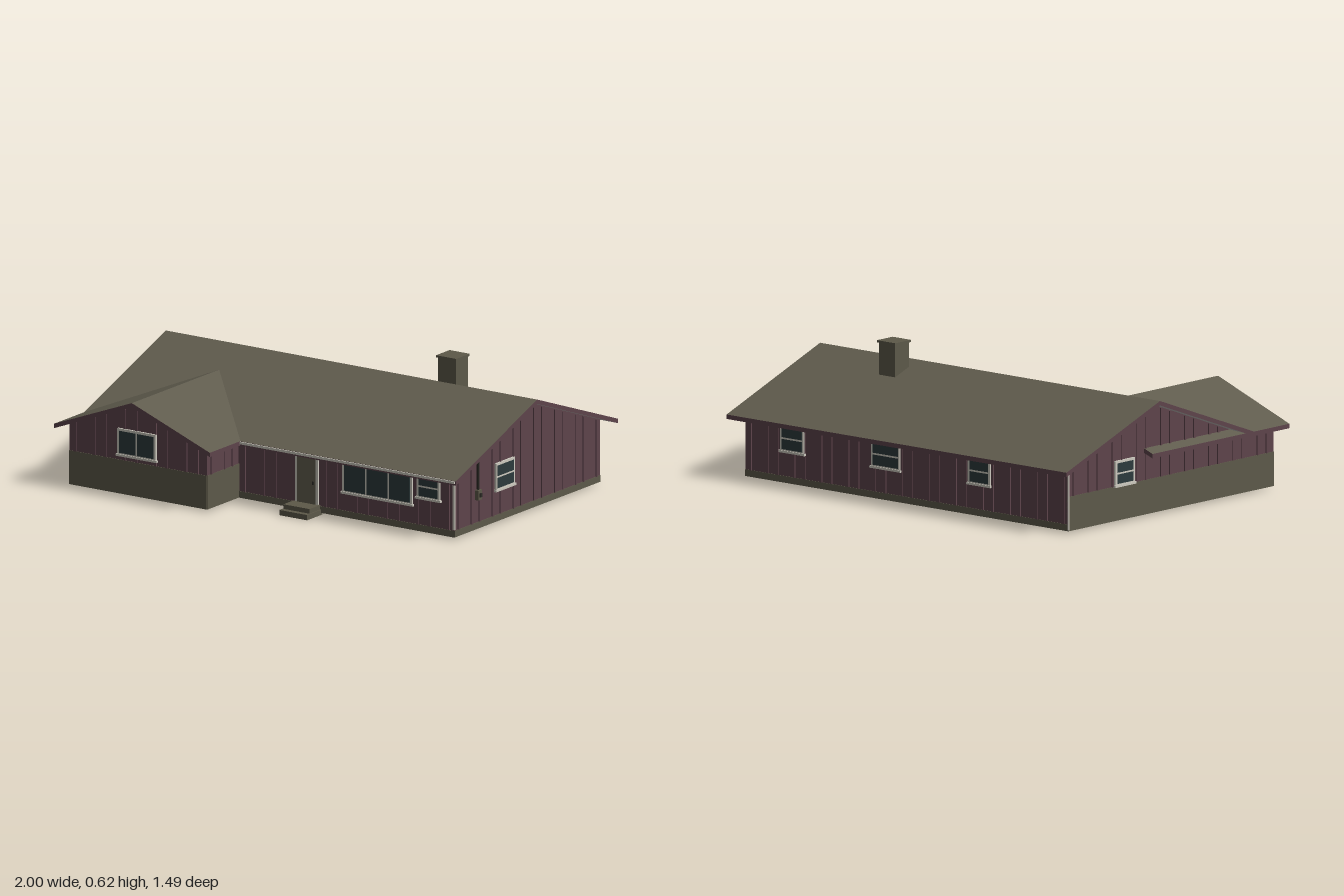
import * as THREE from 'three';

const paint = (name, color) => Object.assign(new THREE.MeshStandardMaterial({ color }), { name });

export function createModel() {
  const house = new THREE.Group();
  house.name = 'house';
  const M = {
    roof: paint('roofShingle', 0x605c4e),
    wall: paint('plumSiding', 0x5e434b),
    brick: paint('oliveMasonry', 0x5d5949),
    ceiling: paint('greyUnderside', 0xc4c1bd),
    trim: paint('paleTrim', 0xcdcabf),
    glass: paint('darkGlass', 0x2c3a3c),
    door: paint('doorOlive', 0x636050),
    dark: paint('darkMetal', 0x2c2b26),
  };
  M.wall.side = THREE.DoubleSide;

  function box(parent, name, mat, x0, x1, y0, y1, z0, z1) {
    const m = new THREE.Mesh(new THREE.BoxGeometry(x1 - x0, y1 - y0, z1 - z0), mat);
    m.position.set((x0 + x1) / 2, (y0 + y1) / 2, (z0 + z1) / 2);
    m.name = name;
    parent.add(m);
    return m;
  }

  // Roof planes: height rules for the main roof and the front wing
  const mainY = (x, z) => 0.52 - 0.368 * Math.abs(z + 0.12);
  const wingY = (x) => 0.45 - 0.384 * Math.abs(x + 0.58);
  const THICK = 0.02;

  // Sloped slab from a plan outline: shingle top, grey underside, plum fascia
  function slab(name, outline, height) {
    const plan = outline.map(([x, z]) => new THREE.Vector2(x, -z));
    if (THREE.ShapeUtils.isClockWise(plan)) plan.reverse();
    const top = plan.map((p) => [p.x, height(p.x, -p.y), -p.y]);
    const low = top.map(([x, y, z]) => [x, y - THICK, z]);
    const tris = THREE.ShapeUtils.triangulateShape(plan, []);
    const pos = [];
    const geo = new THREE.BufferGeometry();
    tris.forEach(([a, b, c]) => pos.push(...top[a], ...top[b], ...top[c]));
    tris.forEach(([a, b, c]) => pos.push(...low[a], ...low[c], ...low[b]));
    top.forEach((p, i) => {
      const j = (i + 1) % top.length;
      pos.push(...low[i], ...low[j], ...top[j], ...low[i], ...top[j], ...p);
    });
    const n = tris.length * 3;
    geo.setAttribute('position', new THREE.Float32BufferAttribute(pos, 3));
    geo.addGroup(0, n, 0);
    geo.addGroup(n, n, 1);
    geo.addGroup(2 * n, top.length * 6, 2);
    geo.computeVertexNormals();
    const m = new THREE.Mesh(geo, [M.roof, M.ceiling, M.wall]);
    m.name = name;
    house.add(m);
  }
  slab('mainRoofBack', [[-1, -0.745], [1, -0.745], [1, -0.12], [-1, -0.12]], mainY);
  slab('mainRoofFront', [[-1, -0.12], [1, -0.12], [1, 0.51], [-0.16, 0.51], [-0.58, 0.07], [-1, 0.51]], mainY);
  // The wing roof runs on beneath the main roof
  slab('wingRoofOuter', [[-0.58, -0.17], [-0.58, 0.745], [-1, 0.745], [-1, -0.17]], wingY);
  slab('wingRoofInner', [[-0.58, -0.17], [-0.16, -0.17], [-0.16, 0.745], [-0.58, 0.745]], wingY);

  // Wall in its own frame: u along the wall, y up, z outward.
  // The top is a polyline; masonry covers the foot and battens rise above it.
  function wall(name, x, z, turn, top, masonryTop) {
    const g = new THREE.Group();
    g.name = name;
    g.position.set(x, 0, z);
    g.rotation.y = turn;
    house.add(g);
    const u0 = top[0][0], u1 = top[top.length - 1][0];
    const shape = new THREE.Shape([[u0, 0.012], ...top, [u1, 0.012]].map(([u, y]) => new THREE.Vector2(u, y)));
    const m = new THREE.Mesh(new THREE.ExtrudeGeometry(shape, { depth: 0.008, bevelEnabled: false }), M.wall);
    m.position.z = -0.008;
    m.name = 'siding';
    g.add(m);
    box(g, 'masonryBase', M.brick, u0, u1, 0.01, masonryTop, -0.012, 0.003);
    const topAt = (u) => {
      const i = Math.max(1, top.findIndex((p) => p[0] >= u));
      const [a, b] = [top[i - 1], top[i]];
      return a[1] + ((b[1] - a[1]) * (u - a[0])) / (b[0] - a[0]);
    };
    // Uneven batten spacing
    const count = Math.max(2, Math.round((u1 - u0) / 0.08));
    for (let i = 0; i < count; i++) {
      const u = u0 + ((i + 0.5 + (i % 2 ? 0.15 : -0.1)) * (u1 - u0)) / count;
      box(g, 'batten', M.wall, u - 0.005, u + 0.005, masonryTop, topAt(u) - 0.003, 0, 0.005);
    }
    return g;
  }

  const E = 0.29;
  const main = (z) => mainY(0, z) - THICK;
  const front = wall('frontWall', 0, 0.45, 0, [[-0.21, E], [0.95, E]], 0.04);
  const wing = wall('wingFrontWall', 0, 0.695, 0, [[-0.95, E], [-0.58, 0.43], [-0.21, E]], 0.165);
  wall('wingInnerWall', -0.21, 0, Math.PI / 2, [[-0.695, E], [-0.45, E]], 0.165);
  const right = wall('gableWallLeft', 0.95, 0, Math.PI / 2,
    [[-0.45, main(0.45)], [0.12, 0.5], [0.675, main(-0.675)]], 0.04);
  const left = wall('gableWallRight', -0.95, 0, -Math.PI / 2,
    [[-0.675, main(-0.675)], [-0.12, 0.5], [0.45, main(0.45)], [0.695, E]], 0.165);
  const back = wall('backWall', 0, -0.675, Math.PI, [[-0.95, 0.295], [0.95, 0.295]], 0.04);

  // Window: pale frame and sill, grid of glass panes, plain inner panel
  function windowUnit(g, u0, u1, y0, y1, cols, rows) {
    const w = new THREE.Group();
    w.name = 'window';
    g.add(w);
    const b = 0.011, bar = 0.008;
    box(w, 'windowFrame', M.trim, u0, u1, y0, y1, 0, 0.009);
    box(w, 'windowSill', M.trim, u0 - 0.006, u1 + 0.006, y0 - 0.004, y0 + 0.006, 0, 0.013);
    box(w, 'innerPanel', M.brick, u0, u1, y0, y1, -0.014, -0.009);
    const pw = (u1 - u0 - 2 * b + bar) / cols, ph = (y1 - y0 - 2 * b + bar) / rows;
    for (let c = 0; c < cols; c++) {
      for (let r = 0; r < rows; r++) {
        const pu = u0 + b + c * pw, py = y0 + b + r * ph;
        box(w, 'pane', M.glass, pu, pu + pw - bar, py, py + ph - bar, 0.008, 0.0095);
      }
    }
  }
  windowUnit(wing, -0.687, -0.48, 0.187, 0.31, 2, 1);
  windowUnit(front, 0.352, 0.728, 0.123, 0.277, 3, 1);
  windowUnit(front, 0.752, 0.877, 0.163, 0.274, 1, 2);
  windowUnit(right, -0.138, 0.008, 0.152, 0.278, 1, 2);
  windowUnit(left, -0.37, -0.24, 0.165, 0.28, 1, 2);
  [[-0.67, 0.14], [-0.12, 0.17], [0.43, 0.13]].forEach(([u, w]) =>
    windowUnit(back, u - w / 2, u + w / 2, 0.15, 0.272, 1, 2));

  // Front door and steps
  box(front, 'doorFrame', M.trim, 0.1, 0.222, 0.04, 0.275, -0.012, 0.009);
  box(front, 'door', M.door, 0.112, 0.21, 0.045, 0.268, -0.014, 0.011);
  box(front, 'doorHandle', M.dark, 0.196, 0.203, 0.135, 0.15, 0.01, 0.016);
  box(house, 'upperStep', M.brick, 0.09, 0.23, 0, 0.045, 0.44, 0.535);
  box(house, 'lowerStep', M.brick, 0.085, 0.235, 0, 0.024, 0.44, 0.56);

  // Gutter and downspouts
  box(house, 'gutter', M.trim, -0.16, 0.995, 0.276, 0.287, 0.508, 0.516);
  box(house, 'frontDownspout', M.trim, 0.945, 0.955, 0.045, 0.285, 0.447, 0.456);
  box(house, 'backDownspout', M.trim, -0.956, -0.949, 0.015, 0.285, -0.681, -0.674);

  // Electric meter with conduit
  box(right, 'meterBox', M.brick, -0.29, -0.26, 0.145, 0.19, 0, 0.018);
  box(right, 'meterDial', M.dark, -0.282, -0.268, 0.158, 0.176, 0.016, 0.025);
  box(right, 'conduit', M.dark, -0.277, -0.271, 0.19, 0.33, 0, 0.01);

  // Chimney
  box(house, 'chimney', M.brick, 0.422, 0.518, 0.42, 0.612, -0.275, -0.182);
  box(house, 'chimneyCap', M.brick, 0.416, 0.524, 0.608, 0.618, -0.281, -0.176);

  return house;
}
